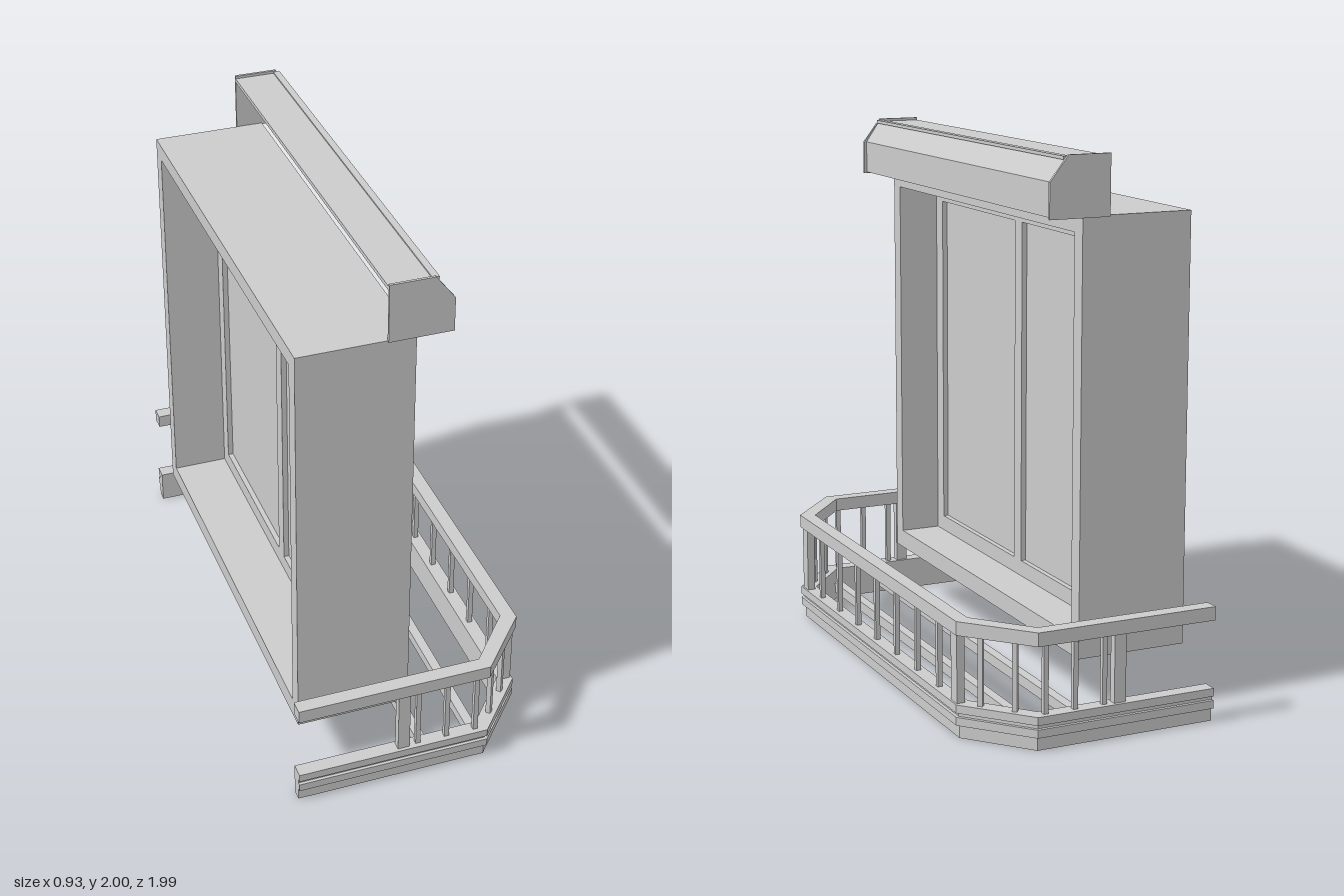
import * as THREE from 'three';

const material = new THREE.MeshStandardMaterial({ color: 0xcccccc, flatShading: true, side: THREE.DoubleSide });

function add(parent, name, geometry) {
  const mesh = new THREE.Mesh(geometry, material);
  mesh.name = name;
  parent.add(mesh);
  return mesh;
}

// Box given by its minimum and maximum along each axis
function box(parent, name, [x0, x1], [y0, y1], [z0, z1]) {
  const mesh = add(parent, name, new THREE.BoxGeometry(x1 - x0, y1 - y0, z1 - z0));
  mesh.position.set((x0 + x1) / 2, (y0 + y1) / 2, (z0 + z1) / 2);
  return mesh;
}

function polygon(points) {
  return new THREE.Shape(points.map(([x, y]) => new THREE.Vector2(x, y)));
}

function rectangle(u0, u1, v0, v1) {
  return [[u0, v0], [u1, v0], [u1, v1], [u0, v1]];
}

// Flat frame with holes, facing +x, centred on z = 0.03
function framePanel(parent, name, outline, holes, x0, x1) {
  const shape = polygon(outline);
  holes.forEach(h => shape.holes.push(polygon(h)));
  const geometry = new THREE.ExtrudeGeometry(shape, { depth: x1 - x0, bevelEnabled: false });
  geometry.rotateY(Math.PI / 2);
  add(parent, name, geometry).position.set(x0, 0, 0.03);
}

// One side of the balcony plan (z >= 0), moved inward by d
function planHalf(d, end) {
  return [
    [end, 0.995 - d],
    [0.26 - 0.43 * d, 0.995 - d],
    [0.46 - d, 0.765 - 0.47 * d],
  ];
}

// U-shaped band with cut corners, between two inward offsets
function balconyBand(parent, name, dOuter, dInner, y0, y1) {
  const side = d => [
    ...planHalf(d, -0.465).map(([x, z]) => [x, -z]),
    ...planHalf(d, -0.43).reverse(),
  ];
  const shape = polygon([...side(dOuter), ...side(dInner).reverse()]);
  const geometry = new THREE.ExtrudeGeometry(shape, { depth: y1 - y0, bevelEnabled: false });
  geometry.rotateX(-Math.PI / 2);
  add(parent, name, geometry).position.y = y0;
}

function createWindow() {
  const group = new THREE.Group();
  group.name = 'window';
  // Deep surround
  framePanel(group, 'surround', rectangle(-0.82, 0.82, 0.23, 1.79),
    [rectangle(-0.76, 0.76, 0.30, 1.73)], -0.42, 0);
  // Sash frame with two openings
  framePanel(group, 'sashFrame', rectangle(-0.76, 0.76, 0.30, 1.73),
    [rectangle(-0.70, -0.03, 0.36, 1.67), rectangle(0.03, 0.70, 0.36, 1.67)], -0.21, -0.16);
  // Panes
  for (const s of [-1, 1]) {
    const z = 0.03 + s * 0.365;
    box(group, 'pane', [-0.19, -0.18], [0.36, 1.67], [z - 0.335, z + 0.335]);
  }
  return group;
}

function createHood() {
  const group = new THREE.Group();
  group.name = 'shutterHood';
  // End caps
  const cap = polygon([[-0.10, 1.785], [0.13, 1.785], [0.13, 1.91], [0.06, 2], [-0.10, 2]]);
  for (const z of [-0.80, 0.845]) {
    add(group, 'endCap', new THREE.ExtrudeGeometry(cap, { depth: 0.01, bevelEnabled: false })).position.z = z;
  }
  // Bent cover: top, slope and front in one thin profile
  const cover = polygon([
    [-0.10, 1.99], [0.065, 1.99], [0.12, 1.91], [0.12, 1.79],
    [0.105, 1.79], [0.105, 1.905], [0.055, 1.975], [-0.10, 1.975],
  ]);
  add(group, 'cover', new THREE.ExtrudeGeometry(cover, { depth: 1.64, bevelEnabled: false })).position.z = -0.795;
  // Drip lip along the top edge, and rail inside
  box(group, 'lip', [0.05, 0.075], [1.983, 1.995], [-0.79, 0.845]);
  box(group, 'innerRail', [0.01, 0.03], [1.92, 1.975], [-0.79, 0.845]);
  return group;
}

function createBalcony() {
  const group = new THREE.Group();
  group.name = 'balcony';
  // Handrail and stepped base
  balconyBand(group, 'handrail', 0, 0.055, 0.375, 0.425);
  balconyBand(group, 'baseFoot', 0.015, 0.055, 0, 0.05);
  balconyBand(group, 'baseLowerMoulding', 0, 0.055, 0.05, 0.08);
  balconyBand(group, 'baseGroove', 0.012, 0.055, 0.08, 0.095);
  balconyBand(group, 'baseUpperMoulding', 0, 0.055, 0.095, 0.125);

  // Floor bars
  for (const x of [0.037, 0.237]) {
    box(group, 'floorBar', [x - 0.018, x + 0.018], [0.03, 0.07], [-0.945, 0.945]);
  }

  // Balusters
  const baluster = (name, x, z, w, d) =>
    box(group, name, [x - w / 2, x + w / 2], [0.12, 0.38], [z - d / 2, z + d / 2]);
  for (let i = -3; i <= 3; i++) baluster('frontBaluster', 0.435, 0.012 + i * 0.192, 0.018, 0.018);
  for (const s of [-1, 1]) {
    baluster('cornerPost', 0.438, s * 0.73, 0.03, 0.05);
    baluster('endPost', -0.062, s * 0.967, 0.045, 0.03);
    for (const x of [-0.005, 0.107, 0.22]) baluster('sideBaluster', x, s * 0.967, 0.018, 0.018);
    for (const [x, z] of [[0.303, 0.905], [0.387, 0.808]]) {
      baluster('angledBaluster', x, s * z, 0.018, 0.018).rotation.y = s * 0.72;
    }
  }
  return group;
}

export function createModel() {
  const model = new THREE.Group();
  model.name = 'balconyWindow';
  model.add(createWindow(), createHood(), createBalcony());
  return model;
}
